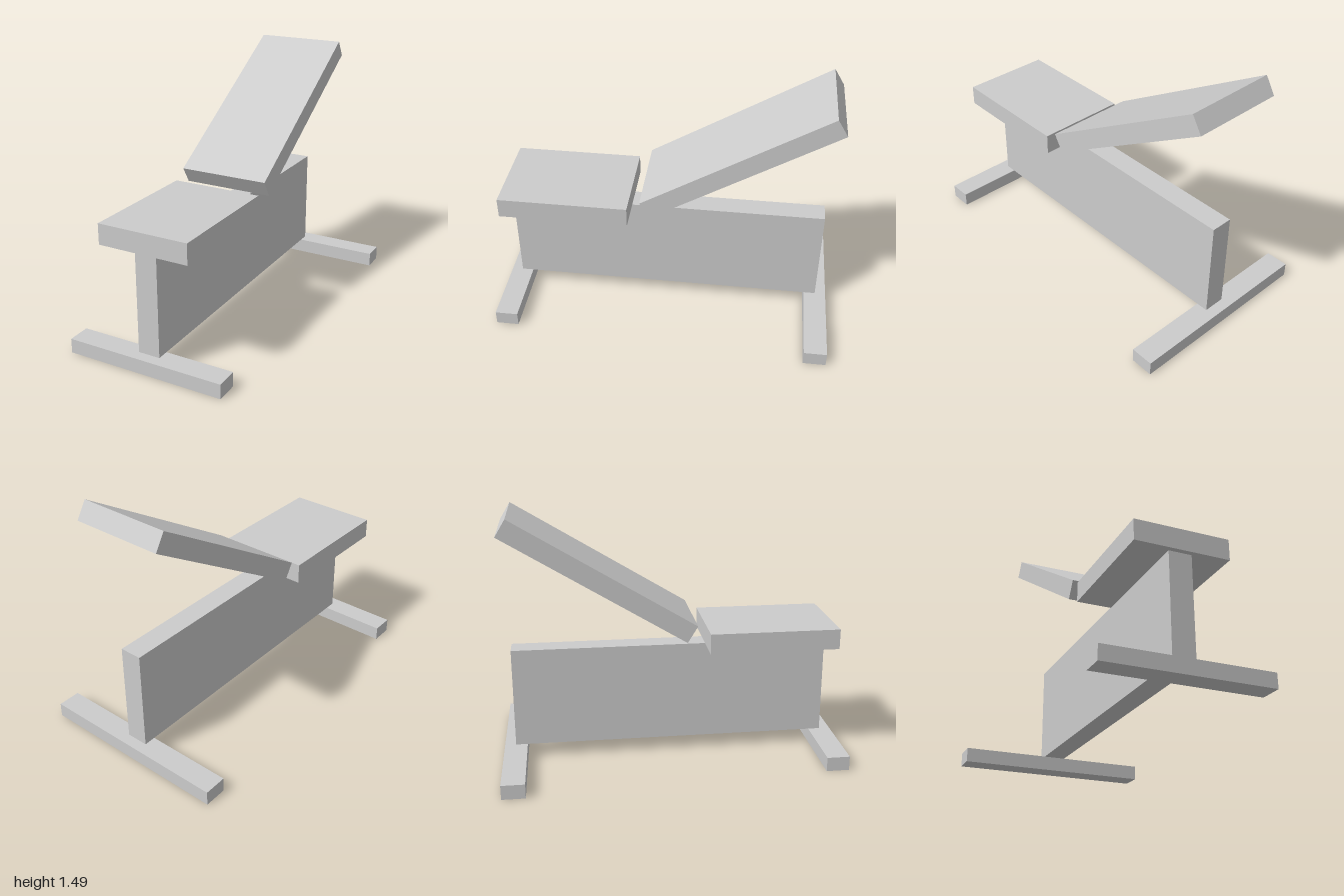
import * as THREE from 'three';

export function createModel() {
  const group = new THREE.Group();
  const lightGrey = new THREE.MeshStandardMaterial({ color: 0xcccccc });
  lightGrey.name = 'lightGrey';

  // Adds a named box from its size and centre
  function addBox(name, [w, h, d], [x, y, z]) {
    const mesh = new THREE.Mesh(new THREE.BoxGeometry(w, h, d), lightGrey);
    mesh.name = name;
    mesh.position.set(x, y, z);
    group.add(mesh);
    return mesh;
  }

  // Cross feet, the rear one wider
  addBox('frontFoot', [0.945, 0.085, 0.134], [0, 0.0425, 0.933]);
  addBox('rearFoot', [1.15, 0.085, 0.134], [0, 0.0425, -0.933]);

  // Upright central slab standing on the feet
  addBox('spine', [0.13, 0.595, 1.87], [0, 0.3825, 0]);

  // Flat seat pad
  addBox('seat', [0.54, 0.12, 0.76], [0, 0.74, 0.585]);

  // Reclined back pad, rising towards the rear
  const backrest = addBox('backrest', [0.54, 0.113, 1.22], [0, 1.122, -0.42]);
  backrest.rotation.x = THREE.MathUtils.degToRad(31.4);

  return group;
}
